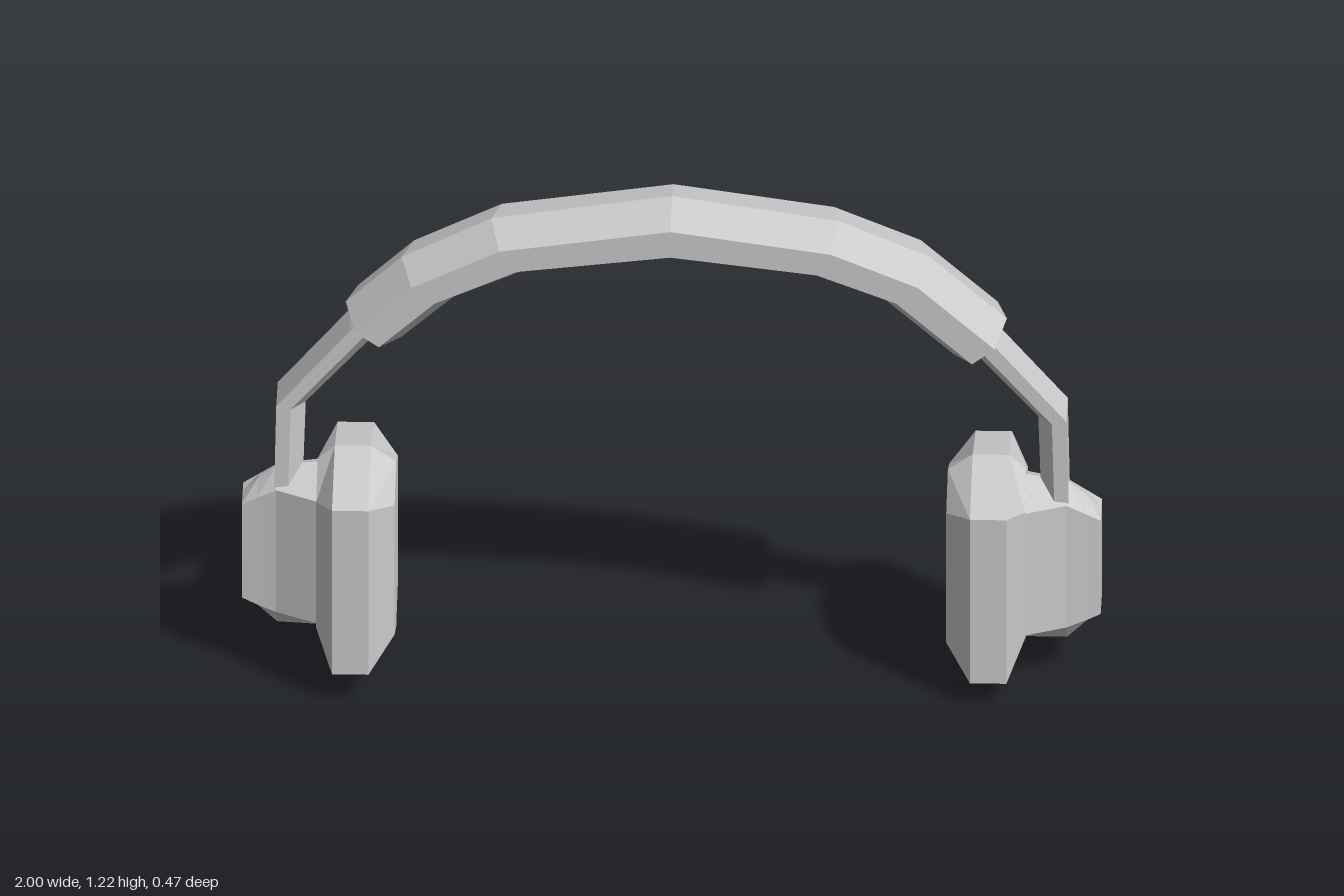
import * as THREE from 'three';

const material = new THREE.MeshStandardMaterial({ color: 0xcccccc, flatShading: true });

// Skin a list of equal-length rings of Vector3, close both ends, face outward.
function loft(name, rings) {
  const tris = [];
  const n = rings[0].length;
  for (let i = 0; i < rings.length - 1; i++) {
    for (let j = 0; j < n; j++) {
      const k = (j + 1) % n;
      const a = rings[i][j], b = rings[i][k], c = rings[i + 1][k], d = rings[i + 1][j];
      tris.push([a, b, c], [a, c, d]);
    }
  }
  const last = rings[rings.length - 1];
  for (let j = 1; j < n - 1; j++) {
    tris.push([rings[0][0], rings[0][j + 1], rings[0][j]], [last[0], last[j], last[j + 1]]);
  }
  // A negative enclosed volume means the corners run the wrong way round
  const volume = tris.reduce((v, [a, b, c]) => v + a.dot(b.clone().cross(c)), 0);
  const points = tris.flatMap(([a, b, c]) => (volume < 0 ? [a, c, b] : [a, b, c]));
  const geometry = new THREE.BufferGeometry().setFromPoints(points);
  geometry.computeVertexNormals();
  const mesh = new THREE.Mesh(geometry, material);
  mesh.name = name;
  return mesh;
}

// Section across a band: outer and inner edge points [x, y], profile of [depth 0..1, z]
function bandRing(outer, inner, profile) {
  return profile.map(([t, z]) => new THREE.Vector3(
    THREE.MathUtils.lerp(outer[0], inner[0], t),
    THREE.MathUtils.lerp(outer[1], inner[1], t), z));
}

// Upright hexagon at x with peaks at top and bottom
function hexRing(x, halfZ, low, high, peakLow, peakHigh, dz, dy) {
  return [[0, peakHigh], [halfZ, high], [halfZ, low], [0, peakLow], [-halfZ, low], [-halfZ, high]]
    .map(([z, y]) => new THREE.Vector3(x, y + dy, z + dz));
}

function makeHeadband() {
  const outer = [[-0.76, 0.93], [-0.63, 1.05], [-0.42, 1.155], [0, 1.22], [0.39, 1.16], [0.6, 1.07], [0.78, 0.91]];
  const inner = [[-0.63, 0.84], [-0.5, 0.955], [-0.32, 1.03], [0, 1.06], [0.31, 1.03], [0.48, 0.97], [0.655, 0.815]];
  const profile = [[0, 0], [0.2, 0.12], [0.62, 0.12], [1, 0], [0.62, -0.12], [0.2, -0.12]];
  return loft('headband', outer.map((p, i) => bandRing(p, inner[i], profile)));
}

function makeSide(s) {
  const side = new THREE.Group();
  side.name = s > 0 ? 'leftSide' : 'rightSide';
  const dy = s > 0 ? 0 : 0.012;
  const dz = s > 0 ? -0.012 : 0.01;

  // Arm: flat outside, ridge on the inside, running from headband to housing
  const outer = [[0.69, 0.925], [0.75, 0.87], [0.92, 0.672], [0.925, 0.44]];
  const inner = [[0.64, 0.88], [0.70, 0.825], [0.853, 0.655], [0.86, 0.44]];
  const profile = [[0, -0.06], [0, 0.06], [0.5, 0.06], [1, 0], [0.5, -0.06]];
  const flip = ([x, y]) => [s * x, y + dy];
  side.add(loft('arm', outer.map((p, i) => bandRing(flip(p), flip(inner[i]), profile))));

  // Housing on the outside of the cup
  side.add(loft('housing', [
    hexRing(s * 0.78, 0.11, 0.13, 0.45, 0.08, 0.5, dz / 2, dy),
    hexRing(s * 0.82, 0.11, 0.13, 0.45, 0.077, 0.5, dz / 2, dy),
    hexRing(s * 0.92, 0.068, 0.135, 0.455, 0.075, 0.488, 0, dy),
    hexRing(s * 0.965, 0.06, 0.15, 0.43, 0.118, 0.45, 0, dy),
    hexRing(s * 1.0, 0.055, 0.165, 0.41, 0.163, 0.415, 0, dy),
  ]));

  // Ear cushion, bevelled towards both faces
  side.add(loft('earCushion', [
    hexRing(s * 0.642, 0.125, 0.115, 0.455, 0.07, 0.505, dz, dy),
    hexRing(s * 0.7, 0.223, 0.06, 0.49, 0.003, 0.545, dz, dy),
    hexRing(s * 0.785, 0.223, 0.06, 0.49, 0, 0.545, dz, dy),
    hexRing(s * 0.825, 0.115, 0.125, 0.455, 0.07, 0.51, dz, dy),
  ]));
  return side;
}

export function createModel() {
  const model = new THREE.Group();
  model.name = 'headphones';
  model.add(makeHeadband(), makeSide(1), makeSide(-1));
  return model;
}
